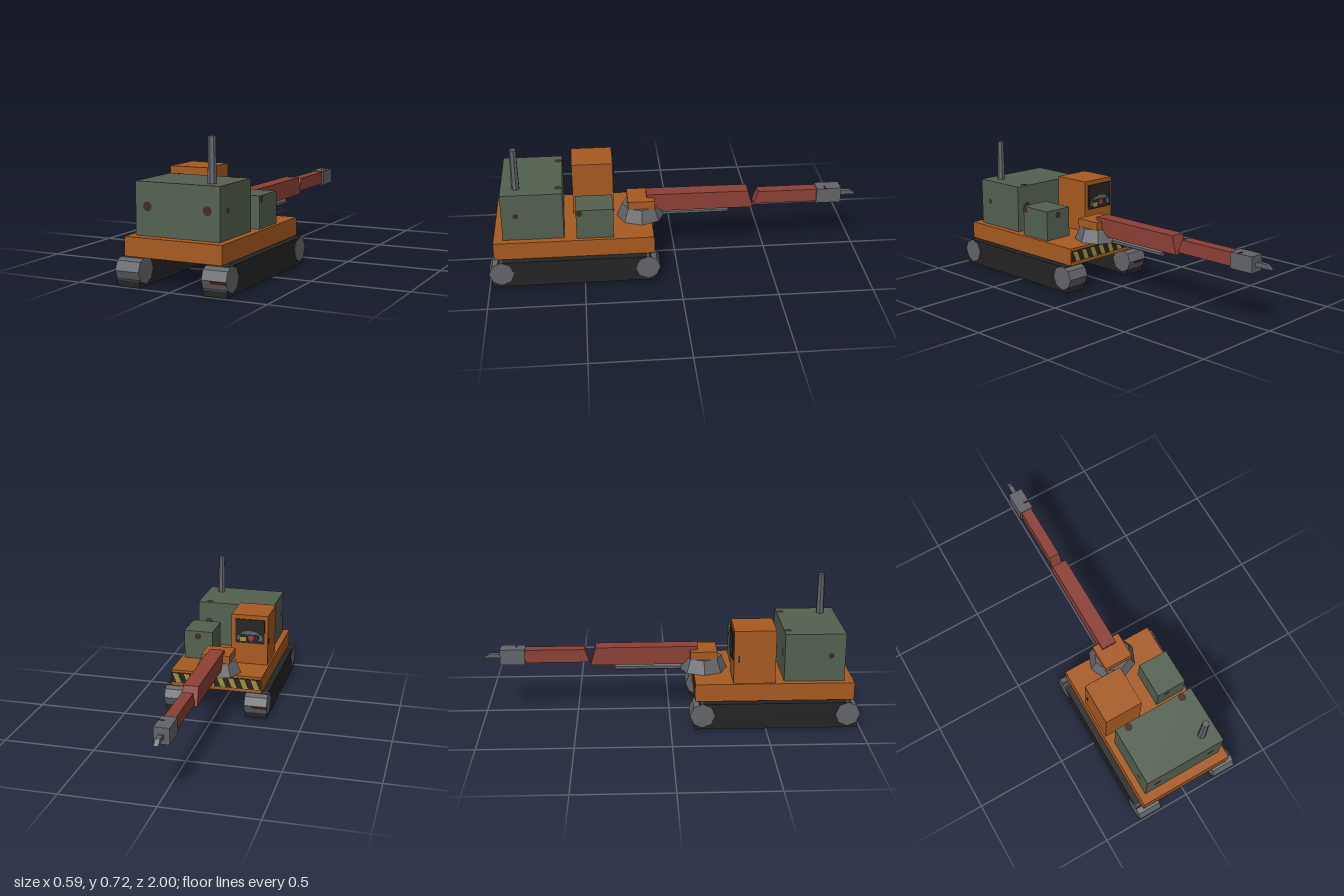
import * as THREE from 'three';

const mat = (name, color) => {
  const m = new THREE.MeshStandardMaterial({ color });
  m.name = name;
  m.flatShading = true;
  return m;
};

export function createModel() {
  const root = new THREE.Group();
  root.name = 'trackedCrane';
  const orange = mat('orange', 0xa85a20), green = mat('green', 0x536150);
  const red = mat('red', 0x8c4036), grey = mat('grey', 0x626569);
  const black = mat('black', 0x242424), yellow = mat('yellow', 0xa58f38);
  const rust = mat('rust', 0x402b21), darkRed = mat('darkRed', 0x552318);
  const signal = mat('signalRed', 0xb03030);

  const add = (name, geometry, material, x = 0, y = 0, z = 0, parent = root) => {
    const mesh = new THREE.Mesh(geometry, material);
    mesh.name = name;
    mesh.position.set(x, y, z);
    parent.add(mesh);
    return mesh;
  };
  // Box given by its limits on each axis
  const box = (name, material, [x0, x1], [y0, y1], [z0, z1], parent) =>
    add(name, new THREE.BoxGeometry(x1 - x0, y1 - y0, z1 - z0), material,
      (x0 + x1) / 2, (y0 + y1) / 2, (z0 + z1) / 2, parent);
  // Side profile of [z, y] points, extruded across x and centred
  const prism = (name, material, points, width, x = 0, parent = root) => {
    const shape = new THREE.Shape(points.map(p => new THREE.Vector2(...p)));
    const g = new THREE.ExtrudeGeometry(shape, { depth: width, bevelEnabled: false });
    g.rotateY(-Math.PI / 2).translate(width / 2, 0, 0);
    return add(name, g, material, x, 0, 0, parent);
  };
  // Thin plate outlined in x, y
  const plate = (name, material, points, z, depth, parent = root) => {
    const shape = new THREE.Shape(points.map(p => new THREE.Vector2(...p)));
    return add(name, new THREE.ExtrudeGeometry(shape, { depth, bevelEnabled: false }), material, 0, 0, z, parent);
  };
  // Round rust mark lying on a face
  const spot = (x, y, z, r, rx = 0, ry = 0) =>
    add('rustSpot', new THREE.CircleGeometry(r, 12), rust, x, y, z).rotation.set(rx, ry, 0);

  // Tracks and octagonal end wheels
  for (const side of [-1, 1]) {
    const track = new THREE.Group();
    track.name = side > 0 ? 'leftTrack' : 'rightTrack';
    root.add(track);
    prism('trackBelt', black,
      [[0.985, 0], [0.985, 0.03], [0.95, 0.141], [0.15, 0.141], [0.125, 0.03], [0.125, 0]],
      0.122, side * 0.231, track);
    for (const z of [0.165, 0.935]) {
      const g = new THREE.CylinderGeometry(0.065, 0.065, 0.128, 8).rotateZ(Math.PI / 2);
      add('wheel', g, grey, side * 0.231, 0.078, z, track);
    }
  }
  // Rust streaks just below the outer edge of two wheels
  for (const [x, z, dir] of [[0.252, 0.997, 1], [-0.252, 0.103, -1]]) {
    const streak = add('rustStreak', new THREE.BoxGeometry(0.083, 0.016, 0.003), darkRed, x, 0.07, z);
    streak.rotation.x = dir * Math.PI / 8;
  }

  // Chassis deck with a striped warning plate
  box('chassis', orange, [-0.26, 0.26], [0.145, 0.24], [0.13, 0.97]);
  box('warningPlate', black, [-0.257, 0.257], [0.165, 0.225], [0.125, 0.13]);
  for (let i = 0; i < 8; i++) {
    const x = -0.25 + i * 0.064;
    plate('warningStripe', yellow,
      [[x, 0.168], [x + 0.03, 0.168], [x + 0.052, 0.222], [x + 0.022, 0.222]], 0.123, 0.003);
  }

  // Engine housing, side cabinet and their rust marks
  box('engineHousing', green, [-0.225, 0.225], [0.24, 0.5], [0.6, 0.92]);
  box('sideCabinet', green, [0.075, 0.24], [0.24, 0.405], [0.34, 0.535]);
  for (const x of [-0.16, 0.16]) {
    spot(x, 0.382, 0.922, 0.023);
    spot(x, 0.382, 0.598, 0.023, 0, Math.PI);
    spot(x, 0.502, 0.621, 0.021, -Math.PI / 2);
  }
  for (const s of [-1, 1]) spot(s * 0.227, 0.38, 0.845, 0.015, 0, s * Math.PI / 2);
  spot(0.16, 0.375, 0.338, 0.019, 0, Math.PI);
  spot(0.13, 0.375, 0.537, 0.016);
  spot(0.242, 0.387, 0.517, 0.017, 0, Math.PI / 2);

  // Tapered exhaust stack
  add('exhaust', new THREE.CylinderGeometry(0.018, 0.022, 0.222, 7), grey, 0.143, 0.611, 0.84);

  // Cab with windscreen and instruments
  const cab = new THREE.Group();
  cab.name = 'cab';
  root.add(cab);
  box('cabBody', orange, [-0.25, -0.04], [0.24, 0.53], [0.33, 0.55], cab);
  box('windscreen', black, [-0.232, -0.065], [0.365, 0.505], [0.323, 0.33], cab);
  plate('dashboard', grey,
    [[-0.225, 0.385], [-0.072, 0.385], [-0.08, 0.41], [-0.11, 0.433], [-0.15, 0.442], [-0.19, 0.433], [-0.217, 0.41]],
    0.321, 0.002, cab);
  box('dialPanel', black, [-0.2, -0.09], [0.37, 0.418], [0.3195, 0.321], cab);
  box('yellowGauge', yellow, [-0.128, -0.093], [0.378, 0.402], [0.318, 0.3195], cab);
  const dial = add('redDial', new THREE.CircleGeometry(0.016, 10), signal, -0.155, 0.398, 0.3185, cab);
  dial.rotation.y = Math.PI;
  box('doorHandle', black, [-0.253, -0.25], [0.36, 0.395], [0.352, 0.36], cab);

  // Turret base and boom mount
  add('turret', new THREE.CylinderGeometry(0.1, 0.13, 0.072, 8), grey, 0, 0.275, 0.185);
  box('boomMount', orange, [-0.08, 0.08], [0.31, 0.355], [0.113, 0.257]);

  // Two-part boom, tool head and chisel tip
  prism('mainBoom', red,
    [[0.155, 0.36], [0.155, 0.375], [-0.397, 0.373], [-0.425, 0.275], [0.075, 0.275]], 0.082);
  prism('foreArm', red, [[-0.455, 0.36], [-0.43, 0.288], [-0.78, 0.288], [-0.78, 0.36]], 0.06);
  box('toolHead', grey, [-0.04, 0.04], [0.281, 0.366], [-0.91, -0.776]);
  box('headRust', darkRed, [0.008, 0.041], [0.362, 0.368], [-0.83, -0.82]);
  prism('chiselTip', grey, [[-0.905, 0.312], [-0.905, 0.328], [-0.925, 0.335], [-0.97, 0.335], [-1, 0.311]], 0.024);

  // Hydraulic ram under the boom
  add('hydraulicRam', new THREE.CylinderGeometry(0.014, 0.014, 0.415, 6).rotateX(Math.PI / 2),
    grey, 0, 0.246, -0.0875);

  return root;
}
